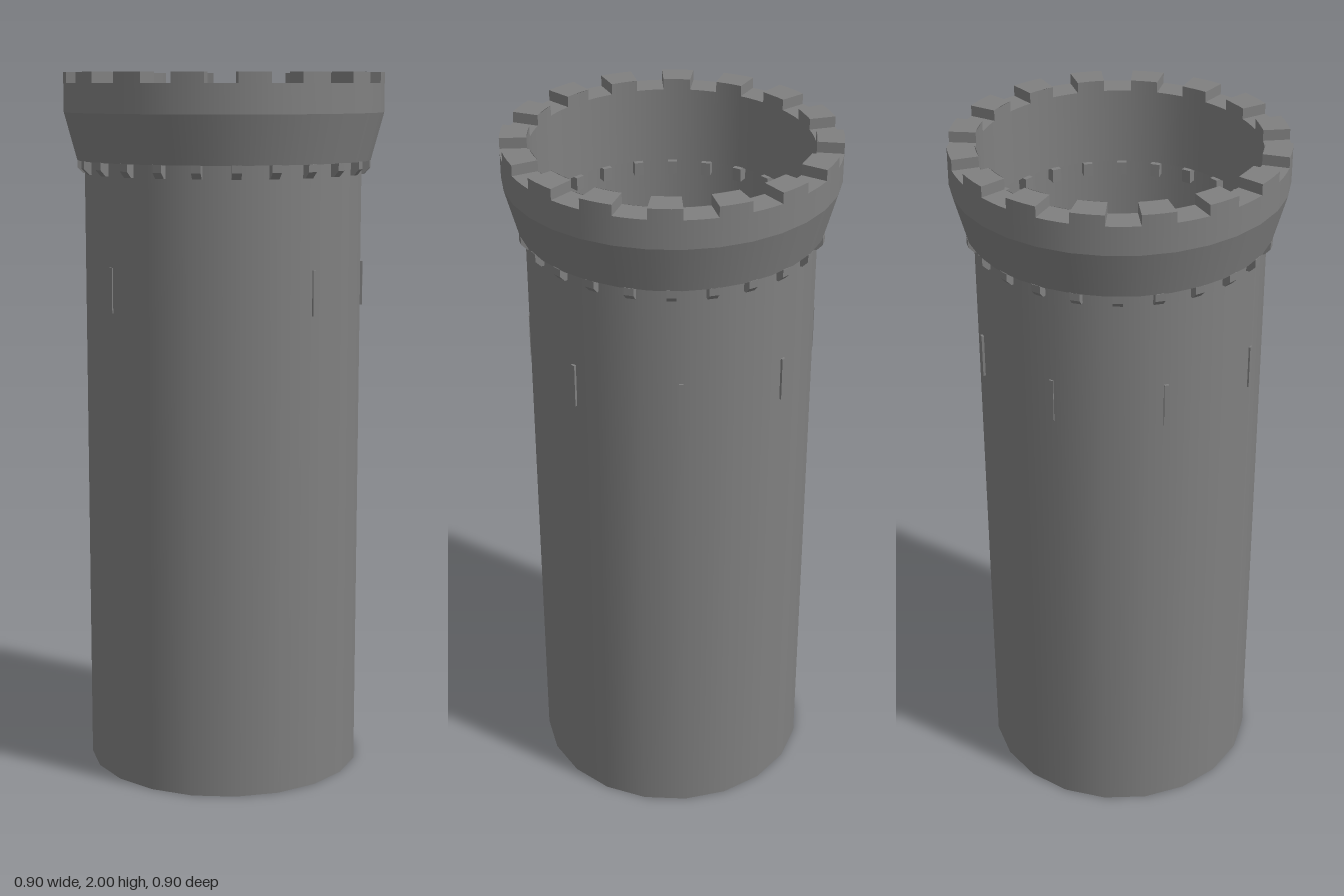
import * as THREE from 'three';

const SIDES = 32;
const STEP = (Math.PI * 2) / SIDES;
const R_OUT = 0.452, R_IN = 0.38;
const Y_BASE = 1.757, Y_KINK = 1.89, Y_NOTCH = 1.97, Y_TOP = 2;

export function createModel() {
  const tower = new THREE.Group();
  tower.name = 'tower';
  const stone = new THREE.MeshStandardMaterial({ color: 0x808080, side: THREE.DoubleSide });
  stone.name = 'greyStone';

  const add = (parent, name, geometry) => {
    const mesh = new THREE.Mesh(geometry, stone);
    mesh.name = name;
    parent.add(mesh);
    return mesh;
  };

  // Open tube wall between two heights, optionally only an arc of it
  const wall = (rTop, rBottom, y0, y1, sides = SIDES, start = 0, length = Math.PI * 2) =>
    new THREE.CylinderGeometry(rTop, rBottom, y1 - y0, sides, 1, true, start, length)
      .translate(0, (y0 + y1) / 2, 0);

  // Flat ring facing up, measured from +z like the cylinder walls
  const ring = (rIn, rOut, y, sides = SIDES, start = 0, length = Math.PI * 2) =>
    new THREE.RingGeometry(rIn, rOut, sides, 1, start - Math.PI / 2, length)
      .rotateX(-Math.PI / 2).translate(0, y, 0);

  // Hollow shaft, open at both ends
  add(tower, 'shaft', wall(0.395, 0.395, 0, Y_BASE, 20));

  // Flared parapet with its underside and inner face
  const parapet = new THREE.Group();
  parapet.name = 'parapet';
  tower.add(parapet);
  add(parapet, 'parapetFlare', wall(R_OUT, 0.416, Y_BASE, Y_KINK));
  add(parapet, 'parapetOuterWall', wall(R_OUT, R_OUT, Y_KINK, Y_NOTCH));
  add(parapet, 'parapetInnerWall', wall(R_IN, R_IN, Y_BASE, Y_NOTCH));
  add(parapet, 'parapetUnderside', ring(R_IN, 0.416, -Y_BASE).rotateX(Math.PI));

  // Sixteen merlons alternating with sixteen notches
  for (let i = 0; i < SIDES; i++) {
    const start = i * STEP;
    if (i % 2) {
      add(parapet, 'notchFloor', ring(R_IN, R_OUT, Y_NOTCH, 1, start, STEP));
      continue;
    }
    const merlon = new THREE.Group();
    merlon.name = 'merlon';
    parapet.add(merlon);
    add(merlon, 'merlonOuter', wall(R_OUT, R_OUT, Y_NOTCH, Y_TOP, 1, start, STEP));
    add(merlon, 'merlonInner', wall(R_IN, R_IN, Y_NOTCH, Y_TOP, 1, start, STEP));
    add(merlon, 'merlonTop', ring(R_IN, R_OUT, Y_TOP, 1, start, STEP));
    for (const [angle, flip] of [[start, Math.PI], [start + STEP, 0]]) {
      add(merlon, 'merlonSide', new THREE.PlaneGeometry(R_OUT - R_IN, Y_TOP - Y_NOTCH)
        .rotateY(Math.PI / 2 + flip)
        .translate(0, (Y_NOTCH + Y_TOP) / 2, (R_IN + R_OUT) / 2)
        .rotateY(angle));
    }
  }

  // Corbels under the parapet, chamfered at the outer foot and showing inside the shaft
  const profile = new THREE.Shape([[0.365, 1.72], [0.4, 1.72], [0.416, 1.737], [0.416, 1.758], [0.365, 1.758]]
    .map(([r, y]) => new THREE.Vector2(r, y)));
  const corbel = new THREE.ExtrudeGeometry(profile, { depth: 0.026, bevelEnabled: false })
    .translate(0, 0, -0.013).rotateY(-Math.PI / 2);
  for (let i = 0; i < 24; i++) {
    add(tower, 'corbel', corbel).rotation.y = (i * Math.PI) / 12;
  }

  // Eight narrow arrow slits around the shaft
  const slit = new THREE.BoxGeometry(0.012, 0.125, 0.022).translate(0, 1.41, 0.386);
  for (let i = 0; i < 8; i++) {
    add(tower, 'arrowSlit', slit).rotation.y = (i * Math.PI) / 4 - STEP;
  }

  return tower;
}
